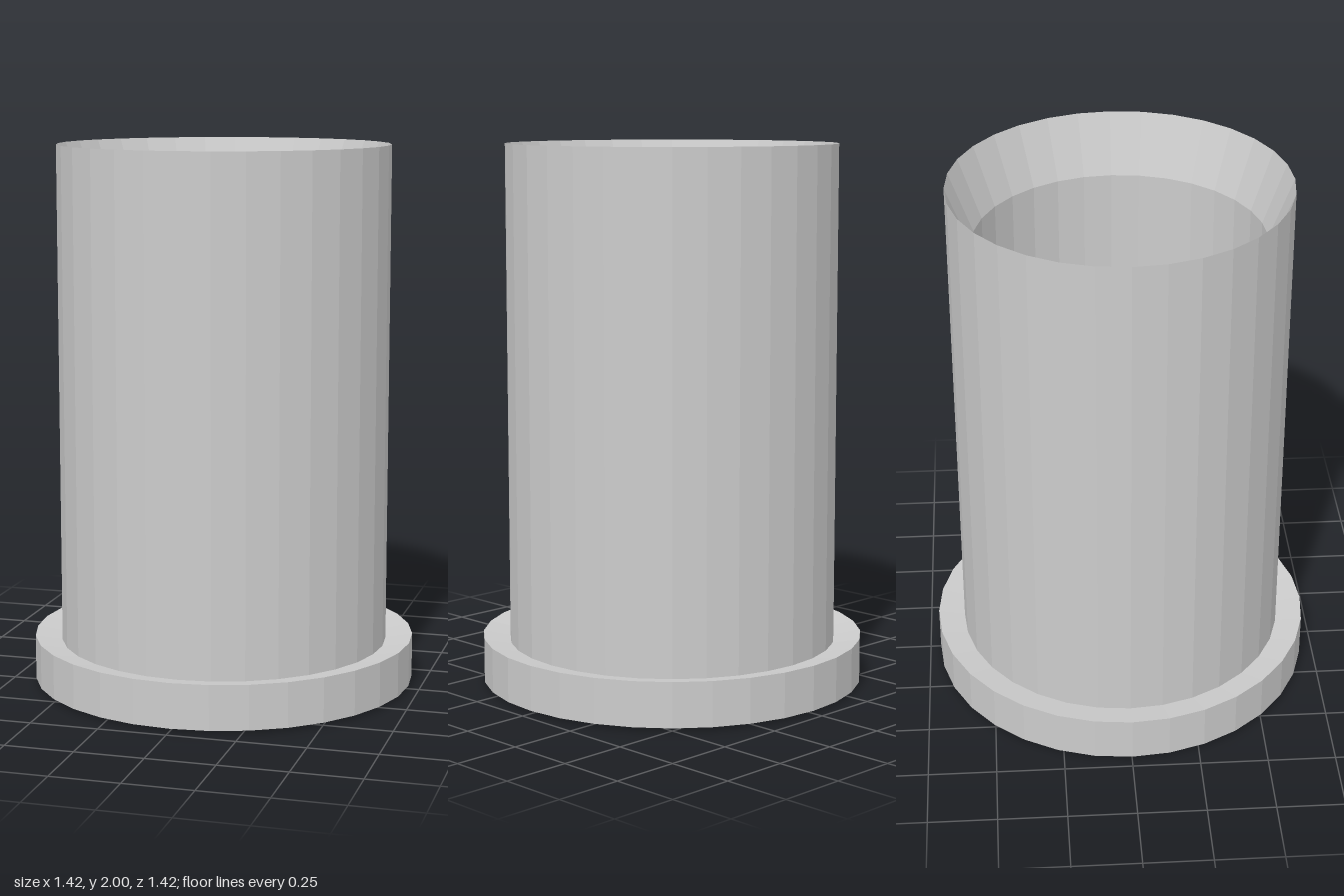
import * as THREE from 'three';

const SIDES = 32;

// Faceted solid of revolution from [radius, height] points, listed from bottom axis to top axis
function turned(name, points) {
  const profile = points.map(([r, y]) => new THREE.Vector2(r, y));
  const material = new THREE.MeshStandardMaterial({ color: 0xcccccc, flatShading: true });
  const mesh = new THREE.Mesh(new THREE.LatheGeometry(profile, SIDES), material);
  mesh.name = name;
  return mesh;
}

export function createModel() {
  const group = new THREE.Group();
  group.name = 'flangedCup';

  // Base flange: slightly raised foot below, top face dipping toward the tube
  group.add(turned('baseFlange', [
    [0, 0], [0.48, 0], [0.55, 0.01], [0.71, 0.01], [0.71, 0.175], [0.61, 0.157],
  ]));

  // Tube wall with a sharp rim, a flared mouth and a deep straight bore
  group.add(turned('tube', [
    [0.61, 0.157], [0.61, 2], [0.525, 1.78], [0.525, 0.17],
  ]));

  // Floor of the bore
  group.add(turned('boreFloor', [[0.525, 0.17], [0, 0.17]]));

  return group;
}
